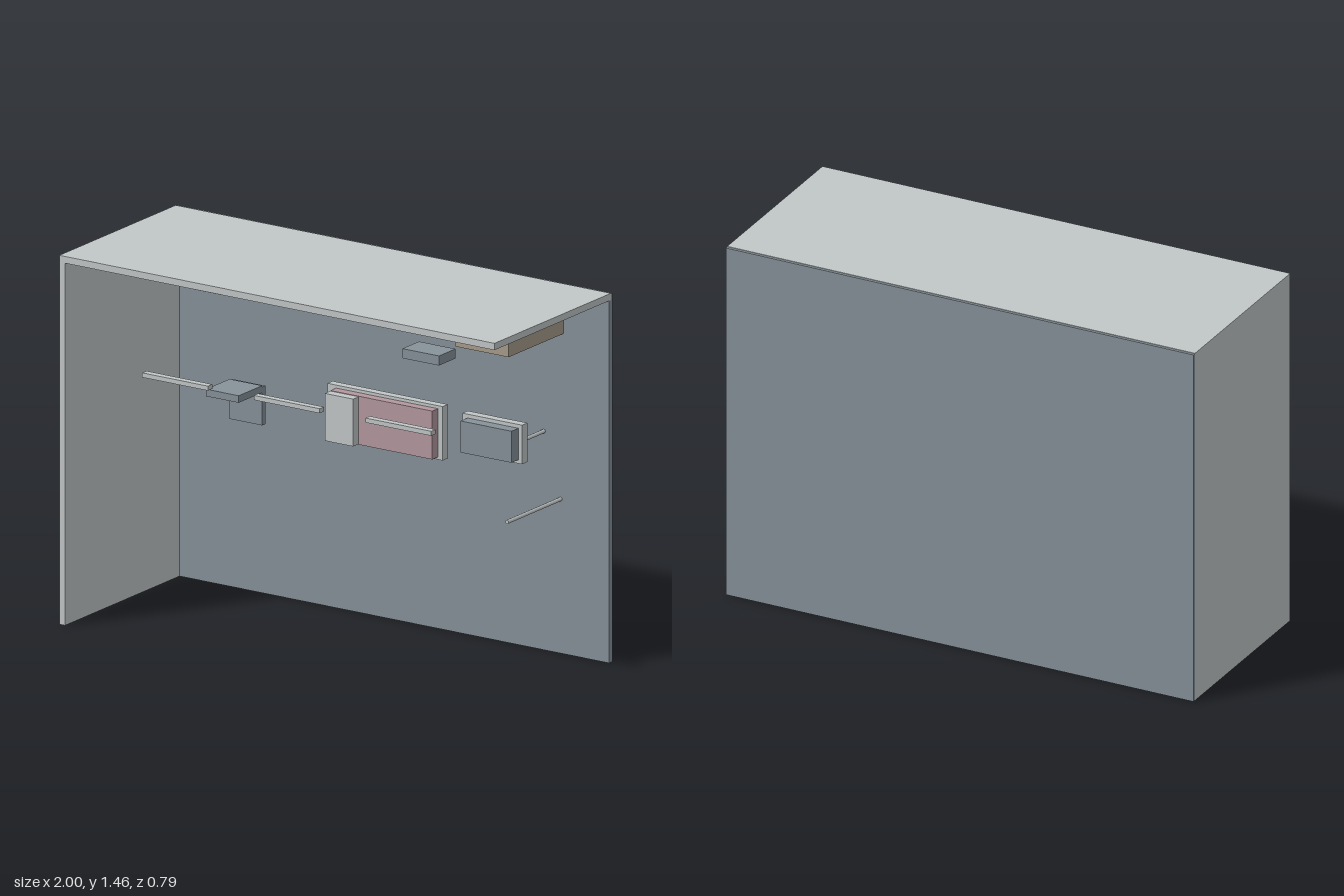
import * as THREE from 'three';

const make = (name, color) => {
  const m = new THREE.MeshStandardMaterial({ color });
  m.name = name;
  return m;
};

export function createModel() {
  const group = new THREE.Group();
  const light = make('pale grey', 0xc2c7c7);
  const slate = make('slate grey', 0x87929a);
  const rose = make('dusty rose', 0xb4989f);
  const tan = make('tan', 0xa89c8b);

  // Box given by its extents on each axis
  const box = (name, mat, [x0, x1], [y0, y1], [z0, z1]) => {
    const mesh = new THREE.Mesh(new THREE.BoxGeometry(x1 - x0, y1 - y0, z1 - z0), mat);
    mesh.position.set((x0 + x1) / 2, (y0 + y1) / 2, (z0 + z1) / 2);
    mesh.name = name;
    group.add(mesh);
  };
  // Thin round rod running along z
  const rod = (name, x, y, [z0, z1]) => {
    const geo = new THREE.CylinderGeometry(0.008, 0.008, z1 - z0, 8).rotateX(Math.PI / 2);
    const mesh = new THREE.Mesh(geo, light);
    mesh.position.set(x, y, (z0 + z1) / 2);
    mesh.name = name;
    group.add(mesh);
  };

  // Open booth shell: back wall, one side wall, roof
  box('backWall', slate, [-1, 1], [0, 1.462], [-0.396, -0.372]);
  box('sideWall', light, [-1, -0.974], [0, 1.437], [-0.384, 0.396]);
  box('roof', light, [-1, 1], [1.437, 1.464], [-0.384, 0.396]);

  // Central display
  box('displayFrame', light, [-0.17, 0.36], [0.738, 0.952], [-0.225, -0.19]);
  box('displayPanel', rose, [-0.13, 0.338], [0.748, 0.94], [-0.19, -0.152]);
  box('displayCover', light, [-0.13, 0], [0.75, 0.938], [-0.152, -0.115]);

  // Monitor with its wall arm
  box('monitorFrame', light, [0.456, 0.73], [0.79, 0.945], [-0.218, -0.182]);
  box('monitorScreen', slate, [0.48, 0.714], [0.805, 0.93], [-0.182, -0.135]);
  rod('monitorArm', 0.7, 0.868, [-0.372, -0.217]);

  // Bracket shelf
  box('shelfTop', slate, [-0.664, -0.514], [0.838, 0.866], [-0.255, -0.097]);
  box('shelfBack', slate, [-0.664, -0.514], [0.708, 0.86], [-0.277, -0.255]);

  // Row of light bars near the front
  for (const x of [-0.516, -0.003, 0.51])
    box('lightBar', light, [x - 0.151, x + 0.151], [1.02, 1.038], [0.297, 0.326]);

  // Wall peg
  rod('wallPeg', 0.777, 0.612, [-0.372, -0.013]);

  // Fittings under the roof
  box('wallCabinet', tan, [0.545, 0.79], [1.27, 1.39], [-0.372, -0.005]);
  box('cabinetTab', light, [0.655, 0.705], [1.39, 1.405], [-0.267, -0.147]);
  box('ceilingBox', slate, [0.34, 0.508], [1.202, 1.24], [-0.06, 0.051]);
  box('hangingSign', light, [-0.77, -0.554], [1.245, 1.367], [-0.15, -0.116]);
  box('signMount', light, [-0.73, -0.597], [1.372, 1.405], [-0.086, 0.004]);
  box('ceilingPlate', slate, [-0.76, -0.57], [1.414, 1.422], [-0.004, 0.094]);

  return group;
}
